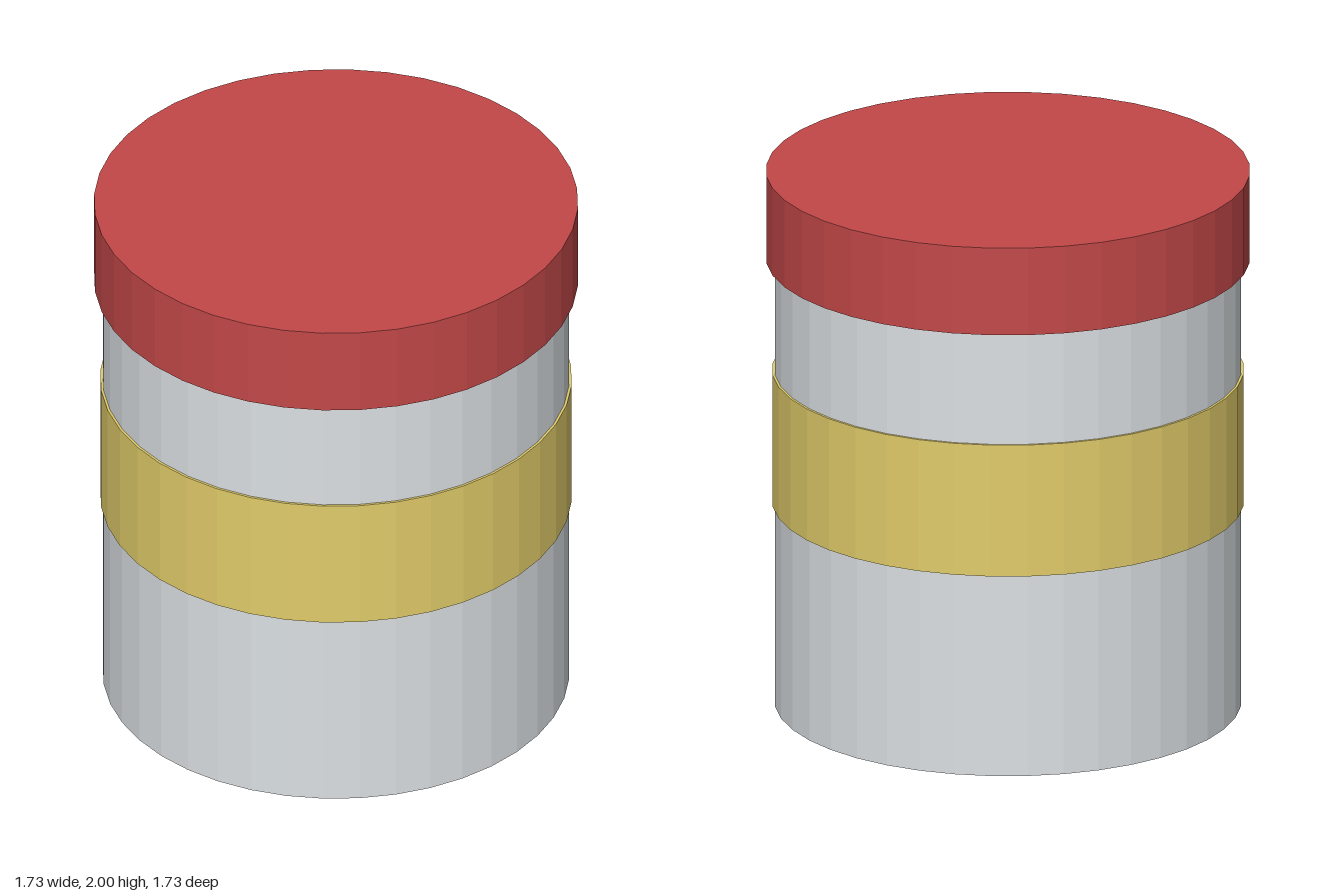
import * as THREE from 'three';

const SIDES = 40;

function material(name, color) {
  const m = new THREE.MeshStandardMaterial({ color, flatShading: true });
  m.name = name;
  return m;
}

// Upright faceted drum between two heights
function drum(name, radius, bottom, top, mat) {
  const geometry = new THREE.CylinderGeometry(radius, radius, top - bottom, SIDES);
  const mesh = new THREE.Mesh(geometry, mat);
  mesh.name = name;
  mesh.position.y = (bottom + top) / 2;
  return mesh;
}

export function createModel() {
  const silver = material('silver', 0xdbe0e3);
  const yellow = material('yellow', 0xe1cc6a);
  const red = material('red', 0xc34848);

  const canister = new THREE.Group();
  canister.name = 'canister';
  canister.add(
    drum('body', 0.833, 0, 1.69, silver),
    // Label band sits just proud of the body
    drum('labelBand', 0.842, 0.755, 1.25, yellow),
    // Overhanging lid
    drum('lid', 0.864, 1.672, 2, red),
  );
  return canister;
}
